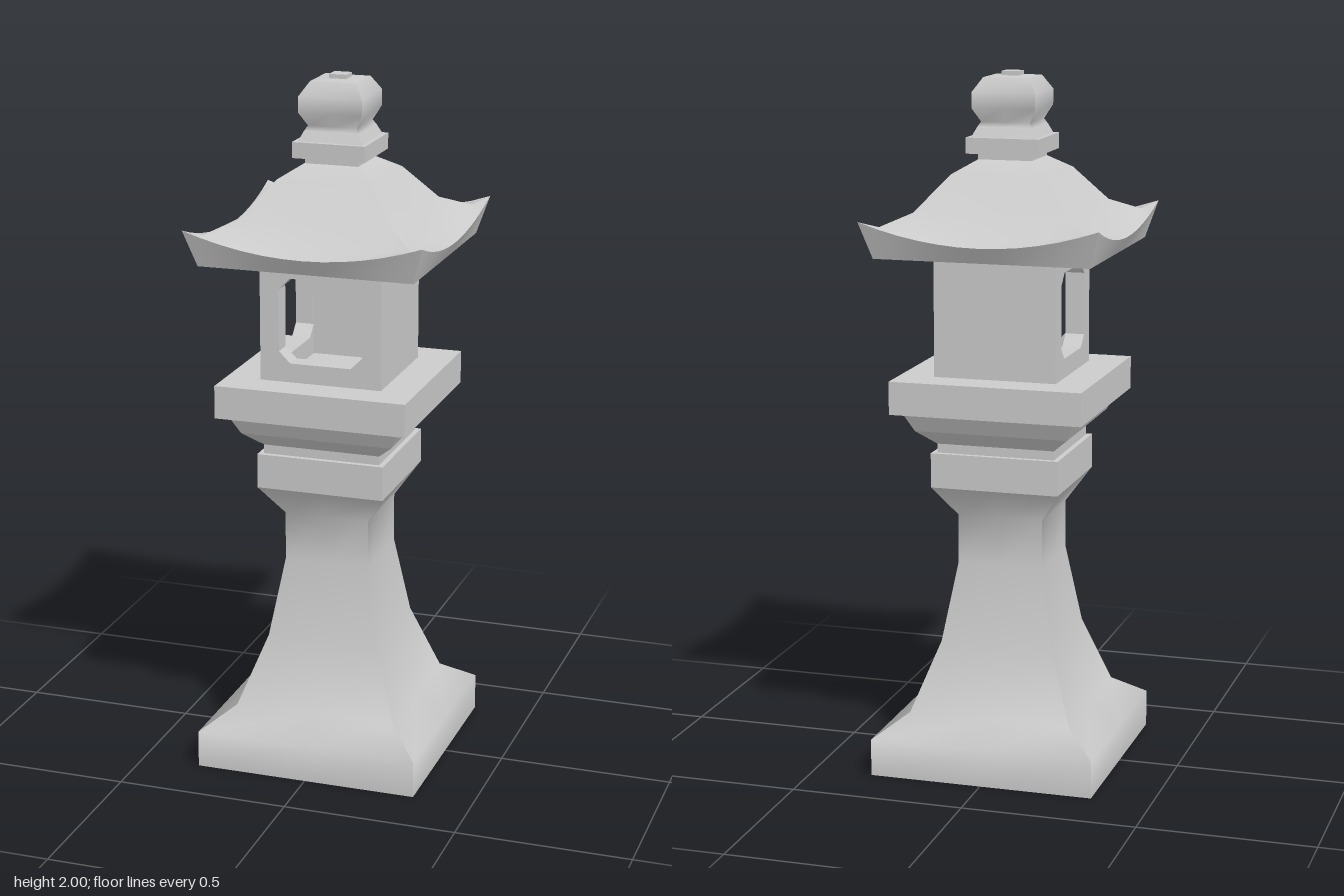
import * as THREE from 'three';
import { mergeGeometries } from 'three/addons/utils/BufferGeometryUtils.js';

const stone = new THREE.MeshStandardMaterial({ color: 0xcccccc });

// One +z side of a square loft. Ring: [half width, y, corner lift, mid-edge sag].
function loftSide(rings, segs) {
  const pos = [], idx = [], n = segs + 1;
  rings.forEach(([h, y, lift = 0, sag = 0], r) => {
    for (let i = 0; i <= segs; i++) {
      const s = (2 * i) / segs - 1;
      pos.push(h * s, y + lift * s * s, h - sag * (1 - s * s));
      if (r && i) {
        const d = r * n + i - 1, c = d + 1, a = d - n, b = c - n;
        idx.push(a, b, c, a, c, d);
      }
    }
  });
  const g = new THREE.BufferGeometry();
  g.setAttribute('position', new THREE.Float32BufferAttribute(pos, 3));
  g.setIndex(idx);
  g.computeVertexNormals();
  return g;
}

// Four mirrored sides; each band is smooth, the joints between bands stay sharp.
function squareLoft(name, bands, segs = 2) {
  const parts = [];
  for (const band of bands) {
    for (let k = 0; k < 4; k++) parts.push(loftSide(band, segs).rotateY((k * Math.PI) / 2));
  }
  const mesh = new THREE.Mesh(mergeGeometries(parts), stone);
  mesh.name = name;
  return mesh;
}

// Straight-sided square slab with top and bottom faces.
function slab(name, half, y0, y1) {
  const mesh = new THREE.Mesh(new THREE.BoxGeometry(2 * half, y1 - y0, 2 * half), stone);
  mesh.name = name;
  mesh.position.y = (y0 + y1) / 2;
  return mesh;
}

// Rectangle with cut corners, used for the windows.
function chamferedPath(w, y0, y1, c) {
  return new THREE.Path([
    [-w + c, y0], [-w, y0 + c], [-w, y1 - c], [-w + c, y1],
    [w - c, y1], [w, y1 - c], [w, y0 + c], [w - c, y0],
  ].map(([x, y]) => new THREE.Vector2(x, y)));
}

// Wall panel of the light chamber; outer face lies at HALF.
const HALF = 0.178, THICK = 0.055;
function wall(name, halfWidth, angle, open) {
  const shape = new THREE.Shape([
    [-halfWidth, 1.15], [halfWidth, 1.15], [halfWidth, 1.5], [-halfWidth, 1.5],
  ].map(([x, y]) => new THREE.Vector2(x, y)));
  if (open) shape.holes.push(chamferedPath(0.122, 1.205, 1.45, 0.033));
  const g = new THREE.ExtrudeGeometry(shape, { depth: THICK, bevelEnabled: false });
  g.translate(0, 0, HALF - THICK).rotateY(angle);
  const mesh = new THREE.Mesh(g, stone);
  mesh.name = name;
  return mesh;
}

export function createModel() {
  const model = new THREE.Group();
  model.name = 'stoneLantern';

  // Foot and tapering shaft
  model.add(squareLoft('shaft', [
    [[0, 0], [0.327, 0]],
    [[0.327, 0], [0.327, 0.107], [0.238, 0.17], [0.165, 0.37], [0.125, 0.6], [0.125, 0.74], [0.187, 0.83]],
    [[0.187, 0.83], [0.187, 0.93]],
    [[0.187, 0.93], [0, 0.93]],
  ]));

  // Neck, flared bracket and platform
  model.add(slab('neck', 0.172, 0.93, 0.956));
  model.add(squareLoft('bracket', [
    [[0, 0.956], [0.172, 0.956]],
    [[0.172, 0.956], [0.222, 1.0]],
    [[0.222, 1.0], [0.25, 1.056]],
  ]));
  model.add(slab('platform', 0.279, 1.055, 1.15));

  // Light chamber, open on two adjacent sides
  const chamber = new THREE.Group();
  chamber.name = 'lightChamber';
  chamber.add(
    wall('frontWall', HALF, 0, true),
    wall('backWall', HALF, Math.PI, false),
    wall('leftWall', HALF - THICK, Math.PI / 2, false),
    wall('rightWall', HALF - THICK, -Math.PI / 2, true),
  );
  model.add(chamber);

  // Roof with upturned corners
  model.add(squareLoft('roof', [
    [[0, 1.5], [0.31, 1.5]],
    [[0.31, 1.5], [0.342, 1.545, 0.06, 0.006]],
    [[0.342, 1.545, 0.06, 0.006], [0.3, 1.567, 0.018], [0.222, 1.62], [0.138, 1.72], [0.078, 1.757]],
    [[0.078, 1.757], [0, 1.757]],
  ], 12));

  // Finial
  const finial = new THREE.Group();
  finial.name = 'finial';
  finial.add(
    slab('finialNeck', 0.078, 1.755, 1.775),
    slab('finialSlab', 0.106, 1.775, 1.82),
    squareLoft('finialBulb', [
      [[0.093, 1.82], [0.08, 1.847]],
      [[0.08, 1.847], [0.071, 1.862], [0.092, 1.9], [0.092, 1.945], [0.066, 1.985]],
      [[0.066, 1.985], [0, 1.99]],
    ]),
    slab('finialTip', 0.025, 1.98, 2),
  );
  model.add(finial);
  return model;
}
